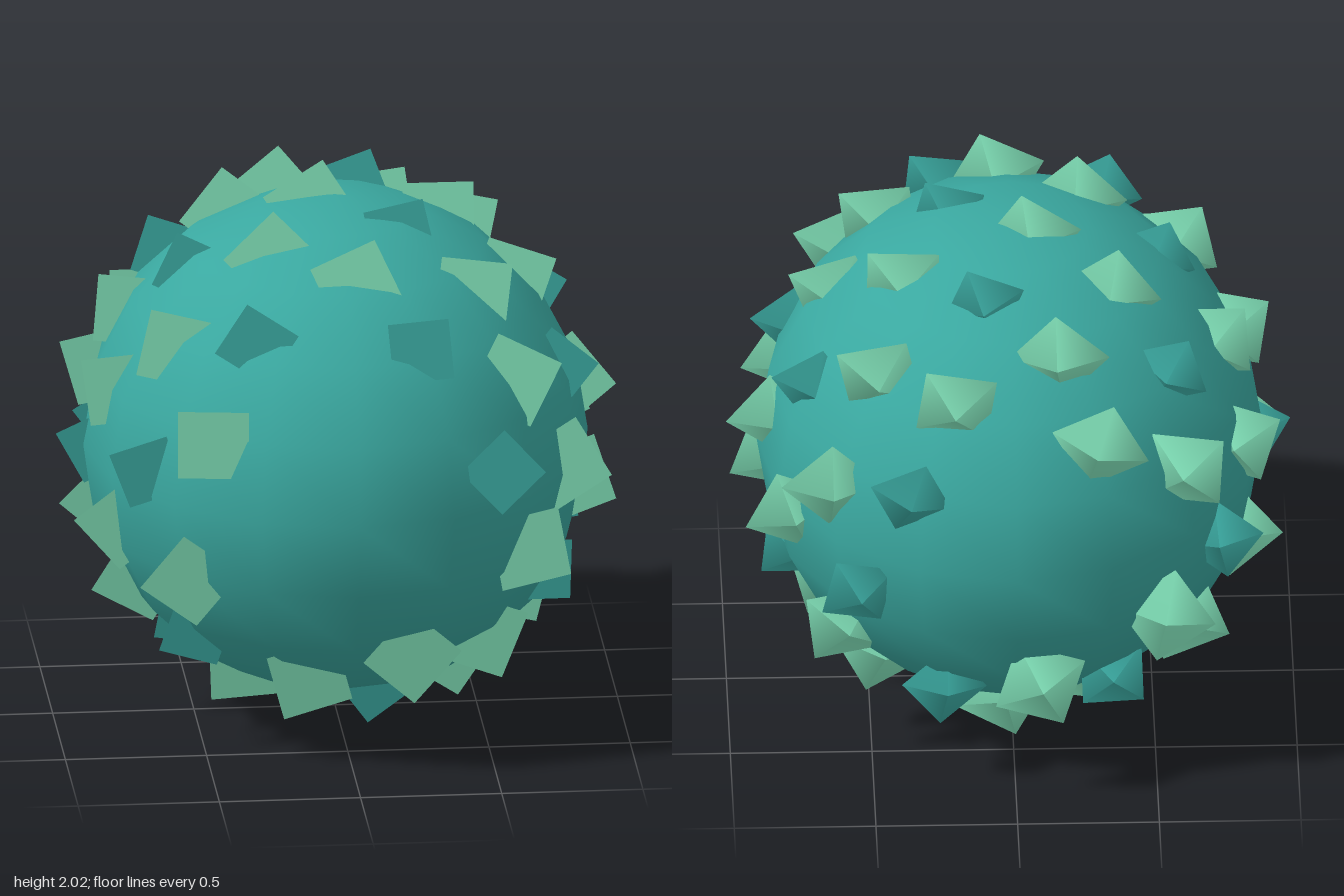
import * as THREE from 'three';

const TEAL = new THREE.MeshStandardMaterial({ color: 0x3aa8a0 });
const MINT = new THREE.MeshStandardMaterial({ color: 0x80e0b8 });

// Flat four-sided pyramid: square base at the origin facing +z, apex towards -z
function scaleGeometry(radius, height) {
  return new THREE.ConeGeometry(radius, height, 4)
    .translate(0, height / 2, 0)
    .rotateX(-Math.PI / 2);
}

export function createModel() {
  const model = new THREE.Group();
  model.name = 'scalyBall';

  // Body: a sphere stretched a little from front to back
  const body = new THREE.Mesh(new THREE.SphereGeometry(1, 16, 10), TEAL);
  body.name = 'body';
  body.scale.set(0.895, 0.895, 1);
  body.position.y = 1;
  model.add(body);

  // Scales: golden-angle spiral from front to back, every third one dark
  const scales = new THREE.Group();
  scales.name = 'scales';
  const small = scaleGeometry(0.152, 0.08);
  const large = scaleGeometry(0.178, 0.09);
  const golden = Math.PI * (3 - Math.sqrt(5));
  const start = THREE.MathUtils.degToRad(15);
  const twist = THREE.MathUtils.degToRad(-17);

  for (let i = 0; i < 64; i++) {
    const dark = i % 3 === 0;
    const angle = start + i * golden;
    const z = 0.845 - 0.0276 * i;
    const r = 0.845 * Math.pow(1 - z * z, 0.36);

    // Pivot turns +x outwards; the scale inside leans back and twists
    const pivot = new THREE.Group();
    pivot.name = 'scalePivot';
    pivot.position.set(r * Math.cos(angle), 1 + r * Math.sin(angle), z);
    pivot.rotation.z = angle;
    const scale = new THREE.Mesh(dark ? small : large, dark ? TEAL : MINT);
    scale.name = dark ? 'darkScale' : 'lightScale';
    scale.rotation.set(-0.1, 0.1, twist);
    pivot.add(scale);
    scales.add(pivot);
  }
  model.add(scales);
  return model;
}
